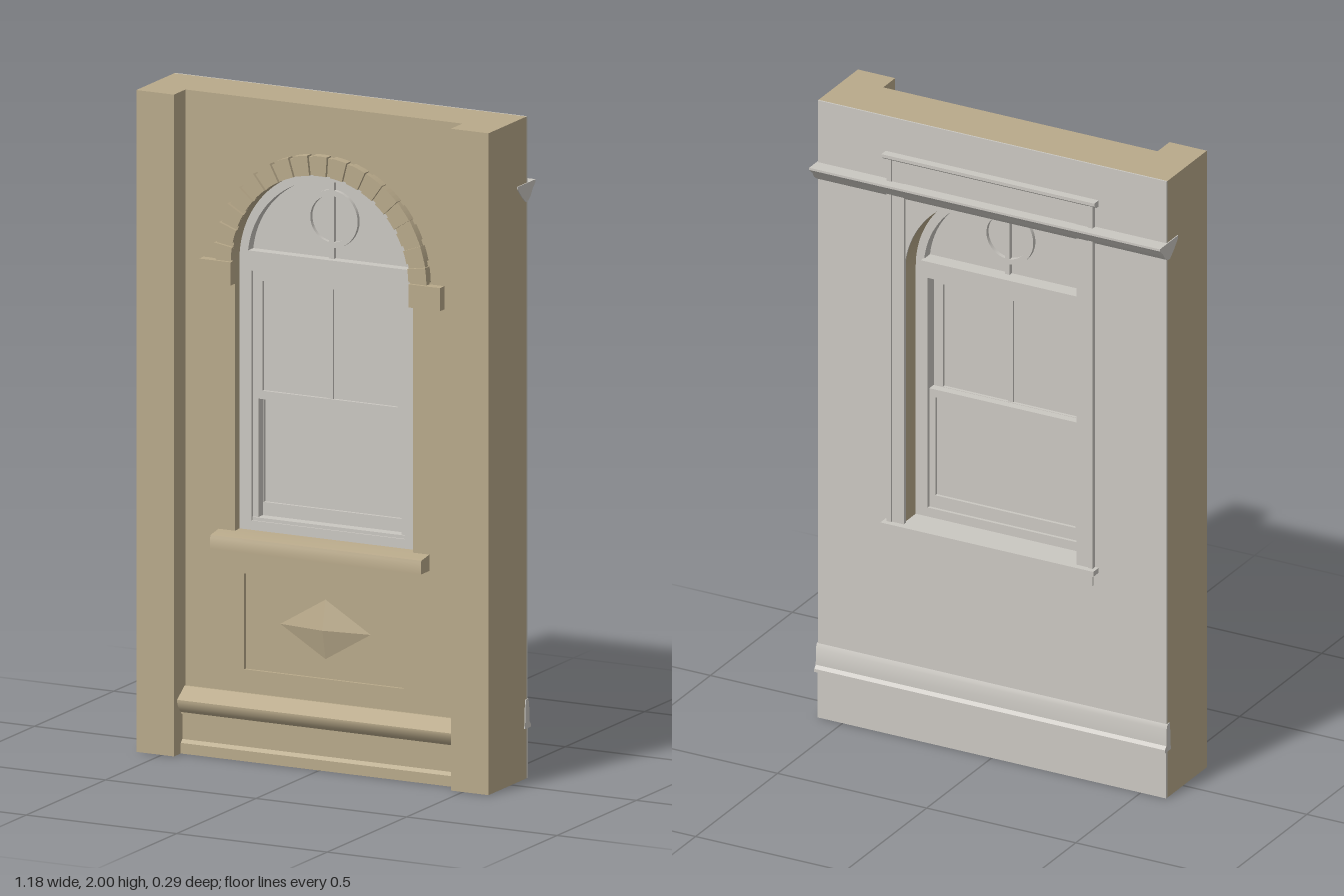
import * as THREE from 'three';
import { toCreasedNormals } from 'three/addons/utils/BufferGeometryUtils.js';

export function createModel() {
  const model = new THREE.Group();
  model.name = 'archedWindowWall';
  const stone = new THREE.MeshStandardMaterial({ color: 0xb8a98a });
  stone.name = 'tan stone';
  const paint = new THREE.MeshStandardMaterial({ color: 0xcac7c1 });
  paint.name = 'pale grey paint';

  function add(name, geometry, material) {
    const mesh = new THREE.Mesh(geometry, material);
    mesh.name = name;
    model.add(mesh);
    return mesh;
  }
  // Box from its limits
  function box(name, mat, x0, x1, y0, y1, z0, z1) {
    const g = new THREE.BoxGeometry(x1 - x0, y1 - y0, z1 - z0);
    g.translate((x0 + x1) / 2, (y0 + y1) / 2, (z0 + z1) / 2);
    return add(name, g, mat);
  }
  // Pair of boxes mirrored in x
  function boxPair(name, mat, x0, x1, y0, y1, z0, z1) {
    box(name + 'Left', mat, x0, x1, y0, y1, z0, z1);
    box(name + 'Right', mat, -x1, -x0, y0, y1, z0, z1);
  }
  // Front-facing shape given depth between two z values
  function slab(name, mat, shape, z0, z1) {
    const g = new THREE.ExtrudeGeometry(shape, { depth: z1 - z0, bevelEnabled: false, curveSegments: 32 });
    g.translate(0, 0, z0);
    return add(name, toCreasedNormals(g, 0.4), mat);
  }
  // Moulding: a (z, y) profile run along x
  function moulding(name, mat, profile, halfWidth) {
    const shape = new THREE.Shape(profile.map(([z, y]) => new THREE.Vector2(-z, y)));
    const g = new THREE.ExtrudeGeometry(shape, { depth: halfWidth * 2, bevelEnabled: false });
    g.translate(0, 0, -halfWidth);
    g.rotateY(Math.PI / 2);
    return add(name, toCreasedNormals(g, 0.5), mat);
  }
  function rect(x0, x1, y0, y1, Type = THREE.Shape) {
    return new Type([[x0, y0], [x1, y0], [x1, y1], [x0, y1]].map(p => new THREE.Vector2(...p)));
  }
  // Straight-sided outline with a round head centred on SPRING
  const SPRING = 1.5, R = 0.295;
  function archOutline(r, bottom, Type = THREE.Shape) {
    const s = new Type(), a = bottom > SPRING ? Math.asin((bottom - SPRING) / r) : 0;
    const x = r * Math.cos(a);
    s.moveTo(-x, bottom);
    s.lineTo(x, bottom);
    s.absarc(0, SPRING, r, a, Math.PI - a, false);
    s.lineTo(-x, bottom);
    return s;
  }

  // Stone wall, side piers and recessed panel
  const BACK = -0.095, FACE = 0.072, SILL = 0.68;
  const wall = rect(-0.46, 0.46, 0, 2);
  wall.holes.push(archOutline(R, SILL, THREE.Path), rect(-0.265, 0.265, 0.27, 0.56, THREE.Path));
  slab('stoneWall', stone, wall, BACK, FACE);
  boxPair('pier', stone, 0.46, 0.585, 0, 2, BACK, 0.145);
  box('recessedPanel', stone, -0.265, 0.265, 0.27, 0.56, BACK, FACE - 0.01);
  const diamond = new THREE.ConeGeometry(1, 1, 4, 1, true).toNonIndexed();
  diamond.rotateX(Math.PI / 2);
  diamond.scale(0.15, 0.09, 0.02);
  diamond.translate(0, 0.418, FACE);
  diamond.computeVertexNormals();
  add('panelDiamond', diamond, stone);

  // Stepped base with a sloping water table
  moulding('waterTable', stone, [
    [FACE - 0.01, 0.2], [0.078, 0.2], [0.125, 0.167], [0.125, 0.16], [0.119, 0.145],
    [0.11, 0.133], [0.1, 0.125], [0.1, 0.12], [FACE - 0.01, 0.12]], 0.46);
  moulding('plinth', stone, [
    [FACE - 0.01, 0.12], [0.092, 0.12], [0.092, 0.042], [0.102, 0.032], [0.102, 0], [FACE - 0.01, 0]], 0.46);

  // Outer stone sill
  moulding('outerSill', stone, [
    [0.02, 0.688], [0.075, 0.685], [0.122, 0.677], [0.125, 0.67], [0.125, 0.636], [FACE - 0.01, 0.636],
    [FACE - 0.01, 0.68], [0.02, 0.68]], 0.35);

  // Arch stones over a thin backing ring, with stepped end blocks
  function ringSector(r0, r1, a0, a1) {
    const s = new THREE.Shape();
    s.absarc(0, SPRING, r1, a0, a1, false);
    s.absarc(0, SPRING, r0, a1, a0, true);
    s.closePath();
    return s;
  }
  slab('archBacking', stone, ringSector(R, 0.35, 0, Math.PI), FACE - 0.01, 0.09);
  const STONES = 17, step = Math.PI / STONES;
  for (let i = 0; i < STONES; i++) {
    slab('archStone' + (i + 1), stone,
      ringSector(R, 0.355, i * step + 0.025, (i + 1) * step - 0.025), FACE - 0.01, 0.1);
  }
  boxPair('archEndBlock', stone, R, 0.4, 1.432, 1.502, FACE - 0.01, 0.1);

  // Painted window frame with openings for sashes and fanlight
  const frame = archOutline(R, SILL);
  frame.holes.push(rect(-0.255, 0.255, 0.715, 1.47, THREE.Path), archOutline(0.268, 1.53, THREE.Path));
  slab('windowFrame', paint, frame, -0.03, 0.045);
  box('transomLedge', paint, -0.27, 0.27, 1.485, 1.53, -0.045, -0.03);
  slab('fanlightPane', paint, archOutline(0.27, 1.525), 0.005, 0.012);
  const ring = new THREE.Shape().absarc(0, 1.65, 0.087, 0, Math.PI * 2);
  ring.holes.push(new THREE.Path().absarc(0, 1.65, 0.07, 0, Math.PI * 2));
  slab('fanlightRing', paint, ring, -0.008, 0.025);
  box('fanlightBar', paint, -0.008, 0.008, 1.53, 1.768, -0.008, 0.025);

  // Sliding sashes: a frame of four members around a pane
  function sash(name, hw, y0, y1, stile, bottom, top, z0, z1) {
    const s = rect(-hw, hw, y0, y1);
    s.holes.push(rect(-hw + stile, hw - stile, y0 + bottom, y1 - top, THREE.Path));
    slab(name + 'Frame', paint, s, z0, z1);
    const zm = (z0 + z1) / 2;
    box(name + 'Pane', paint, -hw + stile, hw - stile, y0 + bottom, y1 - top, zm - 0.003, zm + 0.003);
  }
  sash('upperSash', 0.255, 1.083, 1.47, 0.03, 0.025, 0.03, 0.008, 0.034);
  box('upperSashBar', paint, -0.008, 0.008, 1.108, 1.44, 0.012, 0.03);
  sash('lowerSash', 0.255, 0.722, 1.108, 0.02, 0.043, 0.025, -0.02, 0.006);
  boxPair('sashStop', paint, 0.238, 0.255, 0.715, 1.083, 0.006, 0.034);
  box('frameSill', paint, -0.255, 0.255, 0.7, 0.725, -0.03, 0.04);

  // Plaster on the inner side
  const plaster = rect(-0.585, 0.585, 0, 2);
  plaster.holes.push(archOutline(R, SILL, THREE.Path));
  slab('plasterFace', paint, plaster, -0.1, BACK);

  // Inner casing, head board, stool and apron
  boxPair('casing', paint, 0.29, 0.345, 0.69, 1.875, -0.112, -0.098);
  boxPair('casingBead', paint, 0.33, 0.345, 0.69, 1.875, -0.116, -0.112);
  box('headBoard', paint, -0.345, 0.345, 1.797, 1.875, -0.11, -0.098);
  moulding('headCap', paint, [[-0.098, 1.868], [-0.112, 1.868], [-0.127, 1.878], [-0.127, 1.888], [-0.098, 1.888]], 0.357);
  box('innerStool', paint, -0.357, 0.357, 0.68, 0.696, -0.133, -0.098);
  box('innerSillBoard', paint, -R, R, 0.678, 0.696, -0.098, -0.03);
  box('apron', paint, -0.34, 0.34, 0.635, 0.68, -0.108, -0.098);

  // Picture rail and baseboard cap across the inner wall
  moulding('pictureRail', paint, [
    [-0.035, 1.8], [-0.147, 1.8], [-0.147, 1.793], [-0.128, 1.776], [-0.116, 1.758],
    [-0.1, 1.746], [-0.085, 1.744], [-0.06, 1.765], [-0.037, 1.79]], 0.588);
  moulding('baseboardCap', paint, [
    [-0.085, 0.24], [-0.1, 0.24], [-0.106, 0.225], [-0.107, 0.172], [-0.116, 0.162],
    [-0.116, 0.152], [-0.08, 0.152], [-0.082, 0.19]], 0.588);
  box('baseboard', paint, -0.585, 0.585, 0, 0.155, -0.103, -0.099);

  return model;
}
